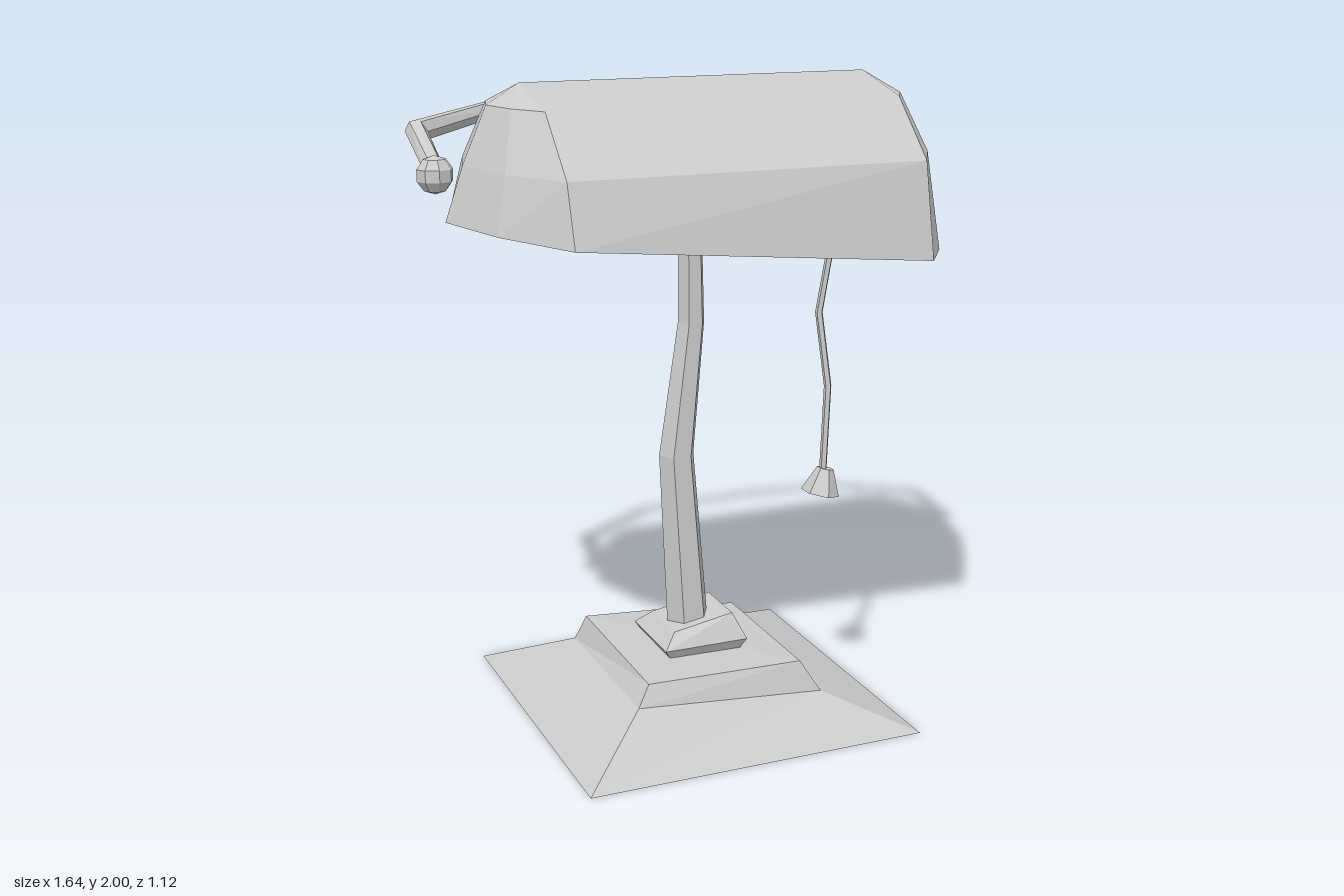
import * as THREE from 'three';

const material = new THREE.MeshStandardMaterial({ color: 0xcccccc, flatShading: true });

function part(name, geometry) {
  const mesh = new THREE.Mesh(geometry, material);
  mesh.name = name;
  return mesh;
}

// Skin through rings of [x, y, z] points; both ends are closed with fans.
function loft(rings) {
  const pos = [];
  const tri = (a, b, c) => {
    const [A, B, C] = [a, b, c].map((p) => new THREE.Vector3(...p));
    if (B.sub(A).cross(C.sub(A)).length() > 1e-7) pos.push(...a, ...b, ...c);
  };
  const n = rings[0].length;
  for (let k = 0; k + 1 < rings.length; k++) {
    const lo = rings[k], hi = rings[k + 1];
    for (let i = 0; i < n; i++) {
      const j = (i + 1) % n;
      tri(lo[i], lo[j], hi[j]);
      tri(lo[i], hi[j], hi[i]);
    }
  }
  const first = rings[0], last = rings[rings.length - 1];
  for (let i = 1; i + 1 < n; i++) {
    tri(first[0], first[i + 1], first[i]);
    tri(last[0], last[i], last[i + 1]);
  }
  const g = new THREE.BufferGeometry();
  g.setAttribute('position', new THREE.Float32BufferAttribute(pos, 3));
  g.computeVertexNormals();
  return g;
}

// Six-sided rod through [x, y, z, radius] points.
function rod(points, ref, sides = 6) {
  const p = points.map((q) => new THREE.Vector3(q[0], q[1], q[2]));
  return loft(p.map((c, k) => {
    const t = new THREE.Vector3();
    if (k > 0) t.add(c.clone().sub(p[k - 1]).normalize());
    if (k + 1 < p.length) t.add(p[k + 1].clone().sub(c).normalize());
    t.normalize();
    const u = ref.clone().cross(t).normalize();
    const v = t.clone().cross(u);
    return Array.from({ length: sides }, (_, i) => {
      const a = (i / sides) * Math.PI * 2;
      return c.clone()
        .addScaledVector(u, Math.cos(a) * points[k][3])
        .addScaledVector(v, Math.sin(a) * points[k][3]).toArray();
    });
  }));
}

// Rectangle ring with its own height on the -x and +x sides.
const rect = (x0, x1, z0, z1, yl, yr) =>
  [[x1, yr, z1], [x1, yr, z0], [x0, yl, z0], [x0, yl, z1]];

// Ten-point plan of the shade: straight long sides with faceted round ends.
function shadeRing(halfDepth, reach, yAt, sx = 1) {
  const along = [1, 0.53, 0, -0.53, -1];
  const out = [0, 0.65, 1, 0.65, 0];
  const ring = [];
  for (const side of [1, -1]) {
    for (let i = 0; i < 5; i++) {
      const x = ((side > 0 ? 0.57 : -0.54) + side * reach * out[i]) * sx;
      ring.push([x, yAt(x), 0.02 + side * halfDepth * along[i]]);
    }
  }
  return ring;
}

export function createModel() {
  const lamp = new THREE.Group();
  lamp.name = 'deskLamp';
  const Y = new THREE.Vector3(0, 1, 0);
  const Z = new THREE.Vector3(0, 0, 1);

  // Stepped, slightly crooked base
  lamp.add(part('base', loft([
    rect(-0.545, 0.545, -0.54, 0.555, 0, 0),
    rect(-0.3, 0.32, -0.28, 0.31, 0.13, 0.08),
    [[0.26, 0.18, 0.28], [0.26, 0.18, -0.25], [-0.27, 0.215, -0.25], [-0.255, 0.19, 0.28]],
  ])));

  // Collar with a tilted top
  lamp.add(part('collar', loft([
    rect(-0.11, 0.11, -0.1, 0.12, 0.17, 0.17),
    rect(-0.145, 0.135, -0.125, 0.15, 0.225, 0.225),
    rect(-0.1, 0.1, -0.08, 0.11, 0.27, 0.305),
  ])));

  // Bent, tapering pole
  lamp.add(part('pole', rod([
    [-0.015, 0.24, 0.016, 0.07],
    [-0.054, 0.83, 0.016, 0.058],
    [-0.004, 1.25, 0.016, 0.044],
    [-0.008, 1.66, 0.016, 0.037],
  ], Z)));

  // Shade with a thick rim and a shallow recess underneath
  const rimY = (x) => 1.537 - 0.0955 * x;
  lamp.add(part('shade', loft([
    shadeRing(0.365, 0.23, (x) => rimY(x) + 0.12, 0.82),
    shadeRing(0.365, 0.23, rimY, 0.82),
    shadeRing(0.47, 0.23, rimY),
    shadeRing(0.41, 0.175, () => 1.77),
    shadeRing(0.235, 0.1, () => 1.94),
    shadeRing(0, 0, () => 2),
  ])));

  // Bar around the back of the shade, ending in a knob on each side
  lamp.add(part('bar', rod([
    [-0.765, 1.735, -0.08, 0.032],
    [-0.762, 1.835, -0.31, 0.036],
    [-0.44, 1.875, -0.515, 0.028],
    [0, 1.885, -0.535, 0.026],
    [0.44, 1.875, -0.515, 0.026],
    [0.775, 1.825, -0.31, 0.03],
    [0.78, 1.735, -0.08, 0.025],
  ], Y)));
  for (const [name, x, r] of [['rightKnob', -0.77, 0.057], ['leftKnob', 0.78, 0.042]]) {
    const knob = part(name, new THREE.SphereGeometry(r, 8, 5));
    knob.position.set(x, 1.735, -0.08);
    lamp.add(knob);
  }

  // Pull cord and its weight
  lamp.add(part('cord', rod([
    [0.365, 1.62, 0.268, 0.011],
    [0.32, 1.3, 0.247, 0.012],
    [0.347, 1.07, 0.263, 0.012],
    [0.335, 0.79, 0.265, 0.012],
  ], Z, 5)));
  const weight = part('cordWeight', new THREE.CylinderGeometry(0.026, 0.06, 0.08, 6));
  weight.position.set(0.335, 0.768, 0.265);
  weight.rotation.z = -0.22;
  lamp.add(weight);

  return lamp;
}
